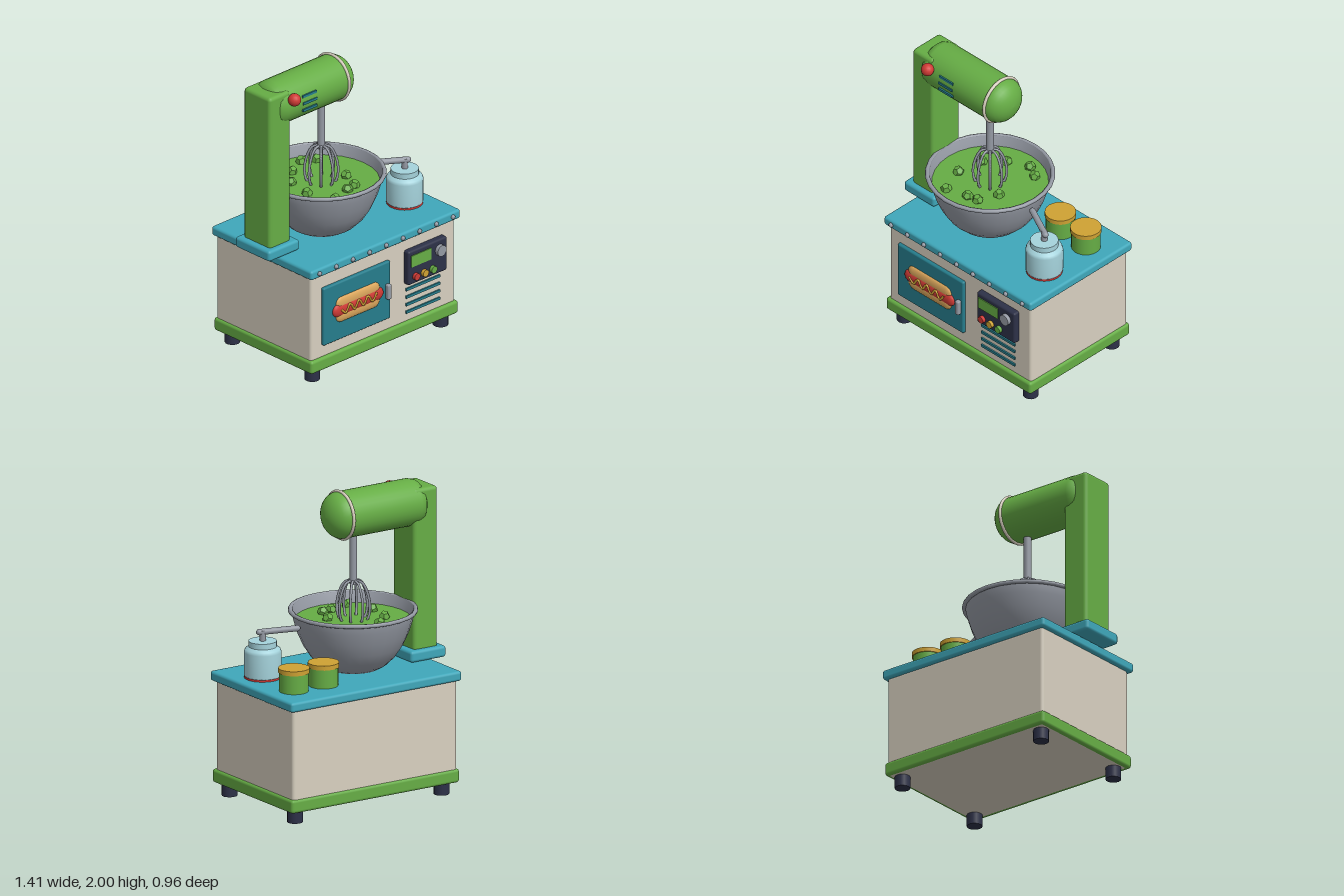
import * as THREE from 'three';
import { RoundedBoxGeometry } from 'three/addons/geometries/RoundedBoxGeometry.js';

const mat = (name, color) => {
  const m = new THREE.MeshStandardMaterial({ color });
  m.name = name;
  return m;
};

export function createModel() {
  const green = mat('green', 0x66ad45), teal = mat('teal', 0x3fa7ba), darkTeal = mat('dark teal', 0x267d8c);
  const cream = mat('cream', 0xd8d0c0), steel = mat('steel', 0x959aa4), navy = mat('navy', 0x2d3148);
  const gold = mat('gold', 0xcfa233), red = mat('red', 0xcf3a35), paleBlue = mat('pale blue', 0xa5d3dc);
  const tan = mat('tan', 0xdca75c);

  const model = new THREE.Group();
  model.name = 'foodMixerStation';
  const add = (name, geo, material, x = 0, y = 0, z = 0) => {
    const m = new THREE.Mesh(geo, material);
    m.name = name;
    m.position.set(x, y, z);
    model.add(m);
    return m;
  };
  // Bevelled box given by its limits on each axis
  const box = (name, material, [x0, x1], [y0, y1], [z0, z1], r = 0.015) =>
    add(name, new RoundedBoxGeometry(x1 - x0, y1 - y0, z1 - z0, 2, r), material,
      (x0 + x1) / 2, (y0 + y1) / 2, (z0 + z1) / 2);
  const cyl = (name, material, r, y0, y1, x, z, sides = 24) =>
    add(name, new THREE.CylinderGeometry(r, r, y1 - y0, sides), material, x, (y0 + y1) / 2, z);
  // Disc facing forwards, used for buttons and dials
  const dial = (name, material, r, depth, x, y, z) => {
    const m = add(name, new THREE.CylinderGeometry(r, r, depth, 20), material, x, y, z);
    m.rotation.x = Math.PI / 2;
    return m;
  };
  const lathe = (pts, sides) => new THREE.LatheGeometry(pts.map(p => new THREE.Vector2(...p)), sides);
  const v = (x, y, z) => new THREE.Vector3(x, y, z);

  // Cabinet
  for (const x of [-0.515, 0.61]) for (const z of [0.35, -0.38]) cyl('foot', navy, 0.05, 0, 0.09, x, z, 14);
  box('baseTrim', green, [-0.6, 0.69], [0.08, 0.17], [-0.466, 0.434], 0.02);
  box('cabinetBody', cream, [-0.585, 0.675], [0.078, 0.76], [-0.455, 0.413], 0.02);
  box('countertop', teal, [-0.61, 0.7], [0.75, 0.815], [-0.476, 0.442], 0.018);
  for (let i = 0; i < 9; i++)
    add('rivet', new THREE.SphereGeometry(0.016, 10, 8), steel, -0.54 + i * 0.146, 0.783, 0.444);

  // Oven door with its hot dog picture
  box('door', darkTeal, [-0.495, 0.093], [0.25, 0.656], [0.4, 0.436], 0.012);
  box('doorHandle', steel, [0.043, 0.077], [0.4, 0.505], [0.43, 0.465], 0.01);
  const capsule = (name, material, r, length, y, z, depth) => {
    const geo = new THREE.CapsuleGeometry(r, length - 2 * r, 6, 16);
    geo.rotateZ(Math.PI / 2);
    geo.scale(1, 1, depth);
    add(name, geo, material, -0.2, y, z);
  };
  capsule('upperBun', tan, 0.044, 0.38, 0.507, 0.436, 0.4);
  capsule('lowerBun', tan, 0.044, 0.38, 0.42, 0.436, 0.4);
  capsule('sausage', red, 0.044, 0.44, 0.464, 0.438, 0.5);
  const zigzag = [v(-0.365, 0.475, 0.459)];
  for (let i = 0; i < 8; i++) zigzag.push(v(-0.325 + i * 0.039, i % 2 ? 0.49 : 0.442, 0.459));
  add('mustard', new THREE.TubeGeometry(new THREE.CatmullRomCurve3(zigzag), 64, 0.008, 6), gold);

  // Control panel and vents
  box('controlPanel', navy, [0.23, 0.57], [0.434, 0.672], [0.4, 0.455], 0.015);
  add('screen', new THREE.BoxGeometry(0.175, 0.08, 0.008), green, 0.338, 0.6, 0.457);
  dial('panelKnob', steel, 0.038, 0.035, 0.5, 0.6, 0.463);
  [red, gold, green].forEach((m, i) => dial('panelButton', m, 0.024, 0.03, 0.288 + i * 0.0745, 0.487, 0.462));
  for (let i = 0; i < 4; i++)
    add('cabinetVent', new THREE.BoxGeometry(0.297, 0.018, 0.02), darkTeal, 0.389, 0.391 - i * 0.053, 0.413);

  // Mixer stand and head
  box('standFoot', teal, [-0.71, -0.44], [0.815, 0.89], [-0.155, 0.16], 0.02);
  box('column', green, [-0.67, -0.485], [0.87, 1.943], [-0.12, 0.125], 0.025);
  const headPts = [[0.0001, -0.615], [0.06, -0.611], [0.11, -0.595], [0.14, -0.57], [0.152, -0.53], [0.152, -0.3]];
  for (let i = 0; i <= 8; i++) {
    const a = (i / 8) * Math.PI / 2;
    headPts.push([Math.max(0.0001, 0.152 * Math.cos(a)), 0.115 * Math.sin(a)]);
  }
  add('mixerHead', lathe(headPts, 32), green, 0, 1.83, 0).rotation.z = -Math.PI / 2;
  add('headRing', new THREE.TorusGeometry(0.154, 0.011, 8, 32), cream, 0, 1.83, 0).rotation.y = Math.PI / 2;
  for (const y of [1.783, 1.831, 1.878])
    add('headVent', new THREE.BoxGeometry(0.122, 0.017, 0.03), darkTeal, -0.344, y, y > 1.85 ? 0.136 : 0.142);
  dial('speedKnobStem', steel, 0.015, 0.06, -0.492, 1.895, 0.13);
  add('speedKnob', new THREE.SphereGeometry(0.042, 16, 12), red, -0.492, 1.895, 0.165);

  // Bowl and its contents
  const bx = -0.097;
  add('bowl', lathe([
    [0.0001, 0.815], [0.17, 0.815], [0.22, 0.845], [0.275, 0.9], [0.32, 0.97], [0.355, 1.05], [0.38, 1.13],
    [0.395, 1.2], [0.385, 1.2], [0.37, 1.13], [0.345, 1.05], [0.3, 0.96], [0.2, 0.86], [0.0001, 0.84]], 28),
    steel, bx);
  add('bowlRim', new THREE.TorusGeometry(0.4, 0.014, 8, 28), steel, bx, 1.193, 0).rotation.x = Math.PI / 2;
  cyl('relish', green, 0.37, 1.1, 1.13, bx, 0, 28);
  const lumps = [[-0.157, -0.21], [-0.013, -0.275], [0.077, -0.226], [-0.23, 0.26], [-0.08, 0.22], [-0.006, 0.204],
    [-0.3, 0.08], [-0.27, -0.1], [0.05, 0.07]];
  lumps.forEach(([x, z], i) => {
    add('relishLump', new THREE.DodecahedronGeometry(0.037), green, x, 1.142, z).rotation.set(i, i * 2, 0);
  });

  // Whisk
  cyl('whiskShaft', steel, 0.025, 1.36, 1.72, -0.1, 0, 16);
  const wire = new THREE.CatmullRomCurve3([v(0.012, 1.385, 0), v(0.055, 1.372, 0), v(0.09, 1.31, 0),
    v(0.107, 1.21, 0), v(0.09, 1.13, 0), v(0.02, 1.06, 0)]);
  const wireGeo = new THREE.TubeGeometry(wire, 24, 0.009, 6);
  for (let i = 0; i < 8; i++) add('whiskWire', wireGeo, steel, -0.1).rotation.y = i * Math.PI / 4;

  // Pump bottle
  const px = 0.51, pz = 0.126;
  cyl('bottleBase', red, 0.117, 0.813, 0.828, px, pz);
  add('bottle', lathe([[0.0001, 0.825], [0.115, 0.825], [0.12, 0.835], [0.12, 0.985], [0.113, 1.005],
    [0.09, 1.02]], 24), paleBlue, px, 0, pz);
  cyl('bottleCap', paleBlue, 0.09, 1.015, 1.057, px, pz);
  cyl('pumpStem', steel, 0.02, 1.05, 1.125, px, pz, 12);
  const spout = new THREE.LineCurve3(v(0.53, 1.113, 0.136), v(0.31, 1.128, 0.03));
  add('pumpSpout', new THREE.TubeGeometry(spout, 1, 0.02, 12), steel);
  for (const p of [spout.v1, spout.v2]) add('spoutEnd', new THREE.SphereGeometry(0.02, 12, 8), steel, p.x, p.y, p.z);

  // Spice canisters
  for (const x of [0.293, 0.52]) {
    cyl('canister', green, 0.094, 0.813, 0.945, x, -0.238);
    cyl('canisterLid', gold, 0.1, 0.938, 0.968, x, -0.238);
  }
  return model;
}
